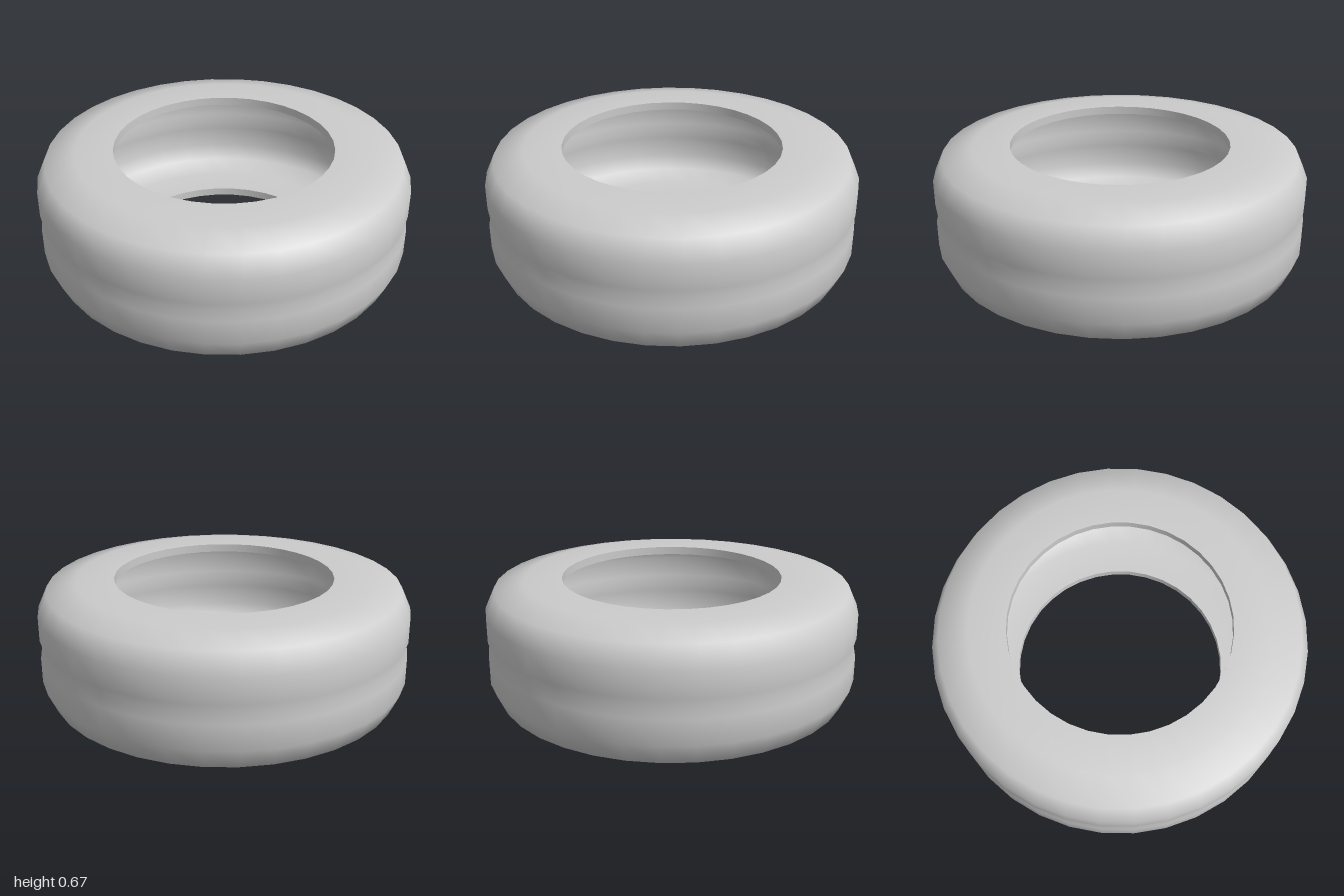
import * as THREE from 'three';

const SEGMENTS = 36;
const HEIGHT = 0.67;

export function createModel() {
  const group = new THREE.Group();
  group.name = 'tire';
  const material = new THREE.MeshStandardMaterial({ color: 0xcccccc });

  // Revolve a [radius, y] profile around the vertical axis
  const revolve = (name, profile) => {
    const points = profile.map(([r, y]) => new THREE.Vector2(r, y));
    const mesh = new THREE.Mesh(new THREE.LatheGeometry(points, SEGMENTS), material);
    mesh.name = name;
    group.add(mesh);
  };

  // Complete a lower half profile with its mirror image above the groove
  const mirrored = (half) => [
    ...half,
    ...half.slice(0, -1).reverse().map(([r, y]) => [r, HEIGHT - y]),
  ];

  // Outer skin: sidewall, shoulder, tread and shallow centre groove
  const outer = mirrored([
    [0.59, 0], [0.79, 0], [0.95, 0.04], [1, 0.15], [1, 0.285], [0.985, HEIGHT / 2],
  ]);
  revolve('outerSkin', outer);

  // Hollow inside, following the outer skin at wall thickness
  const inner = mirrored([
    [0.59, 0.045], [0.78, 0.045], [0.915, 0.08], [0.955, 0.165], [0.955, 0.285], [0.94, HEIGHT / 2],
  ]);
  revolve('innerLining', inner.reverse());

  // Rim edges joining the two skins
  revolve('upperBead', [[0.59, HEIGHT], [0.59, HEIGHT - 0.045]]);
  revolve('lowerBead', [[0.59, 0.045], [0.59, 0]]);

  return group;
}
